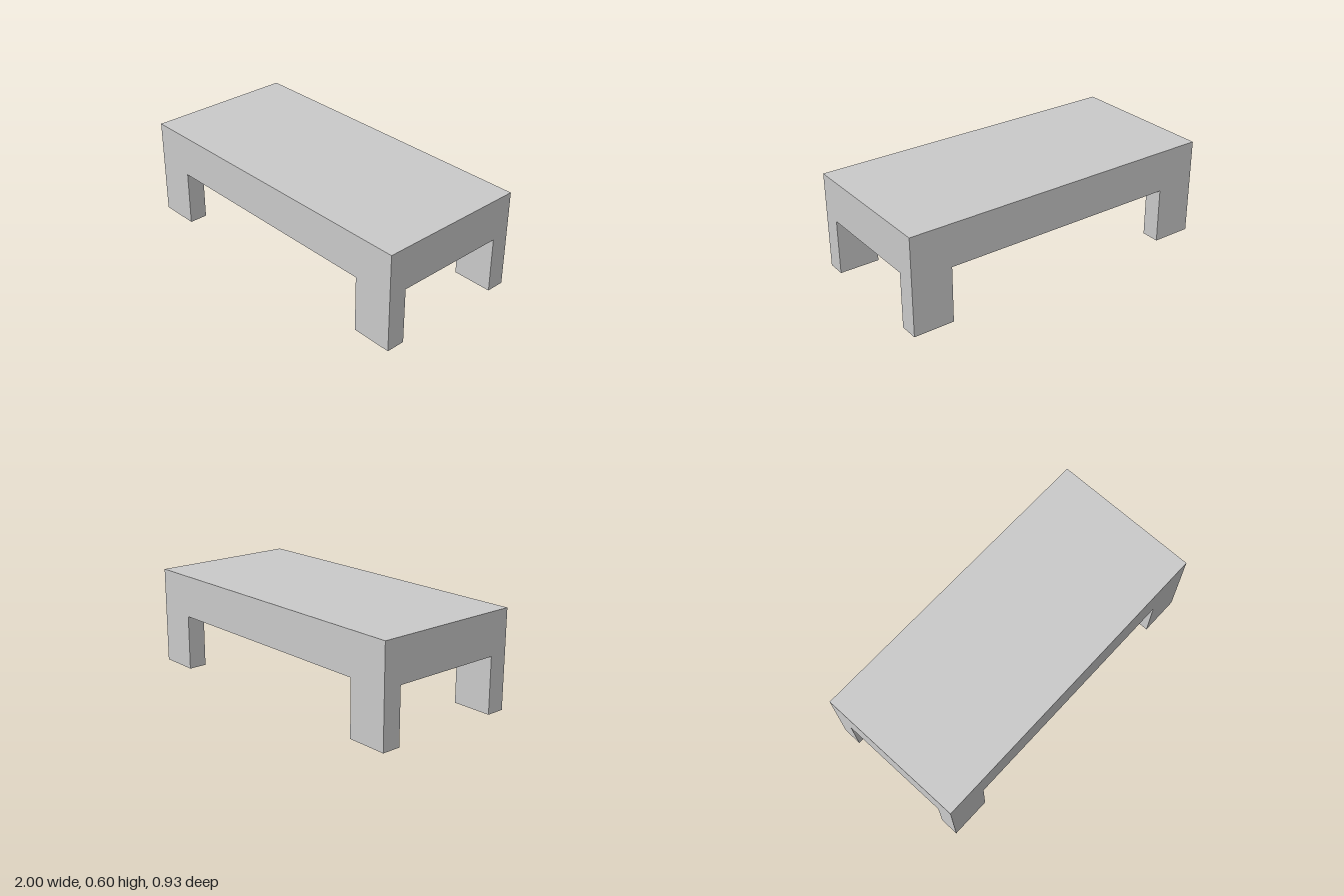
import * as THREE from 'three';

const W = 2, D = 0.93, H = 0.6;        // overall size
const LEG_W = 0.25, LEG_D = 0.115;     // leg section
const UNDER = 0.465, APRON = 0.342;    // underside of the top, lower edge of the aprons

export function createModel() {
  const group = new THREE.Group();
  const material = new THREE.MeshStandardMaterial({ color: 0xcccccc, flatShading: true });
  const thin = material.clone();
  thin.side = THREE.DoubleSide;

  const add = (name, geometry, mat, x, y, z, turn = 0) => {
    const mesh = new THREE.Mesh(geometry, mat);
    mesh.name = name;
    mesh.position.set(x, y, z);
    mesh.rotation.y = turn;
    group.add(mesh);
  };

  // Solid top slab
  add('tableTop', new THREE.BoxGeometry(W, H - UNDER, D), material, 0, (H + UNDER) / 2, 0);

  // Four legs, flush with the corners
  const leg = new THREE.BoxGeometry(LEG_W, UNDER, LEG_D);
  for (const [sx, side] of [[1, 'Left'], [-1, 'Right']]) {
    for (const [sz, end] of [[1, 'front'], [-1, 'back']]) {
      add(`${end}${side}Leg`, leg, material, sx * (W - LEG_W) / 2, UNDER / 2, sz * (D - LEG_D) / 2);
    }
  }

  // Paper-thin aprons between the legs, leaving the underside hollow
  const apronH = UNDER - APRON, apronY = (UNDER + APRON) / 2;
  const longApron = new THREE.PlaneGeometry(W - 2 * LEG_W, apronH);
  const shortApron = new THREE.PlaneGeometry(D - 2 * LEG_D, apronH);
  add('frontApron', longApron, thin, 0, apronY, D / 2);
  add('backApron', longApron, thin, 0, apronY, -D / 2, Math.PI);
  add('leftApron', shortApron, thin, W / 2, apronY, 0, Math.PI / 2);
  add('rightApron', shortApron, thin, -W / 2, apronY, 0, -Math.PI / 2);

  return group;
}
